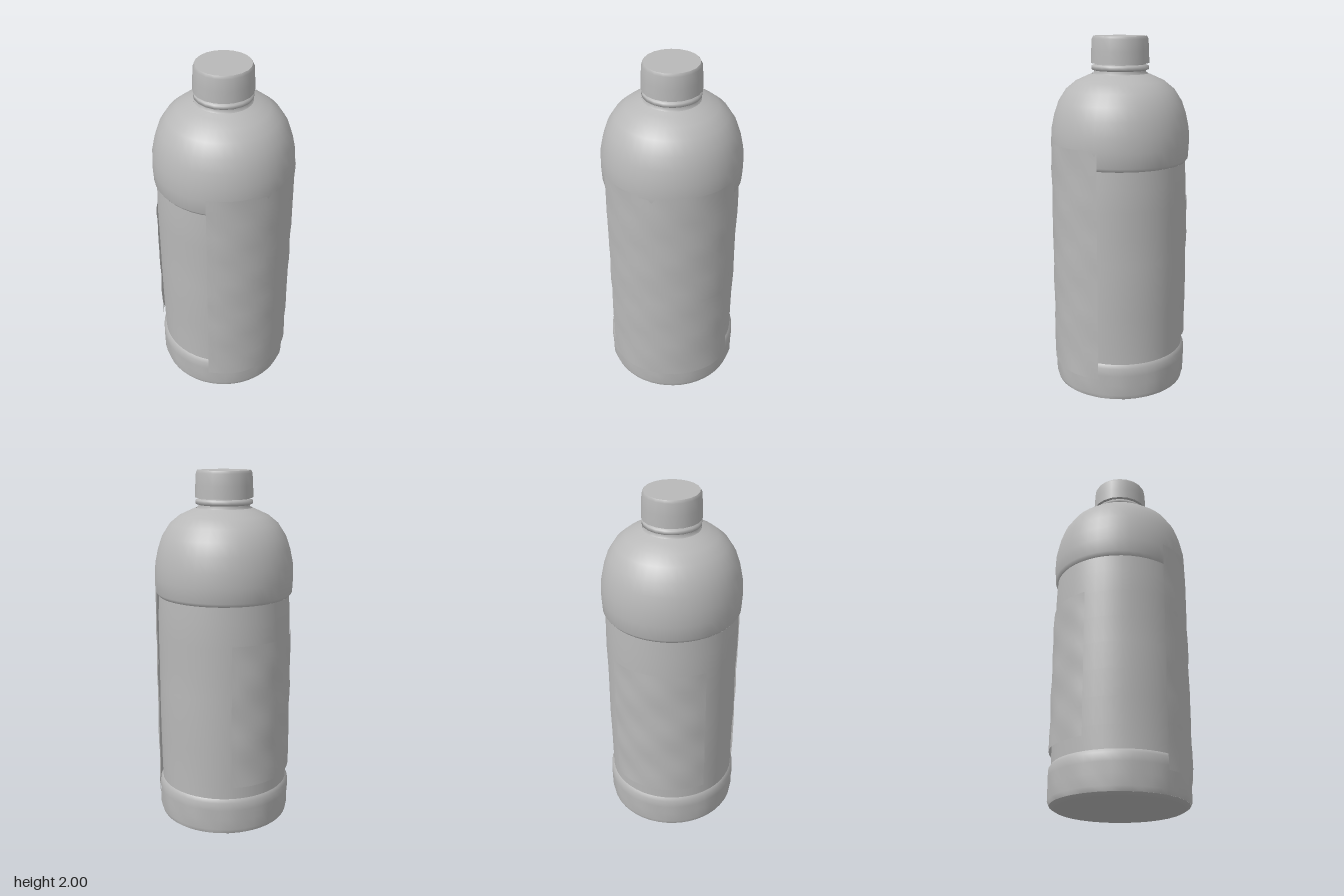
import * as THREE from 'three';

const grey = new THREE.MeshStandardMaterial({ color: 0xb8b8b8, side: THREE.DoubleSide });

// Revolved part from [radius, height] pairs, listed bottom to top
function lathe(name, profile, segments = 32, start = 0, length = Math.PI * 2) {
  const points = profile.map(([r, y]) => new THREE.Vector2(r, y));
  const mesh = new THREE.Mesh(new THREE.LatheGeometry(points, segments, start, length), grey);
  mesh.name = name;
  return mesh;
}

// Push vertices in or out around the axis, then refresh the shading
function reshape(mesh, offset) {
  const p = mesh.geometry.attributes.position;
  const n = mesh.geometry.attributes.normal;
  const seam = p.count / (mesh.geometry.parameters.segments + 1);
  for (let i = 0; i < p.count; i++) {
    const x = p.getX(i), z = p.getZ(i), r = Math.hypot(x, z);
    if (r < 0.01) continue;
    const k = (r + offset(Math.atan2(x, z), p.getY(i))) / r;
    p.setX(i, x * k);
    p.setZ(i, z * k);
  }
  mesh.geometry.computeVertexNormals();
  // Match normals across the seam of a full turn
  if (mesh.geometry.parameters.phiLength > 6.28) {
    for (let j = 0; j < seam; j++) {
      const k = p.count - seam + j;
      const v = new THREE.Vector3(n.getX(j) + n.getX(k), n.getY(j) + n.getY(k), n.getZ(j) + n.getZ(k)).normalize();
      n.setXYZ(j, v.x, v.y, v.z);
      n.setXYZ(k, v.x, v.y, v.z);
    }
  }
  return mesh;
}

// Curved label wrapped around the body between two angles in degrees
function label(name, from, to, y0, y1, radius) {
  const profile = [];
  for (let i = 0; i <= 16; i++) profile.push([radius, y0 + (y1 - y0) * i / 16]);
  const rad = Math.PI / 180;
  const mesh = lathe(name, profile, 18, from * rad, (to - from) * rad);
  // Slight crumpling of the film
  return reshape(mesh, (a, y) => 0.003 * Math.sin(y * 24 + a * 3) * Math.sin(a * 7 + y * 5));
}

export function createModel() {
  const bottle = new THREE.Group();
  bottle.name = 'bottle';

  // Underside with a shallow hollow, and the fluted foot
  bottle.add(lathe('underside', [[0, 0.035], [0.18, 0.025], [0.29, 0], [0.345, 0], [0.37, 0.015]]));
  const foot = lathe('foot', [[0.37, 0.015], [0.381, 0.04], [0.381, 0.1], [0.382, 0.16], [0.38, 0.205], [0.366, 0.225]], 48);
  bottle.add(reshape(foot, (a, y) =>
    y > 0.03 && y < 0.15 ? -0.006 * (0.5 + 0.5 * Math.cos(a * 12)) : 0));

  // Waisted body with shallow grips on both sides
  const body = lathe('body', [[0.366, 0.225], [0.369, 0.35], [0.371, 0.5], [0.372, 0.65], [0.372, 0.8],
    [0.372, 0.95], [0.373, 1.1], [0.371, 1.22], [0.366, 1.32]], 48);
  bottle.add(reshape(body, (a, y) => {
    const side = Math.pow(Math.abs(Math.sin(a)), 8);
    return y > 0.3 && y < 1.2 ? -0.006 * side * (0.6 + 0.4 * Math.cos(y * 14)) : 0;
  }));

  // Rounded shoulder
  bottle.add(lathe('shoulder', [[0.366, 1.32], [0.382, 1.34], [0.386, 1.42], [0.383, 1.5], [0.366, 1.58],
    [0.342, 1.65], [0.3, 1.715], [0.245, 1.76], [0.19, 1.785], [0.155, 1.8]], 40));

  // Neck, collar and cap
  bottle.add(lathe('neck', [[0.155, 1.795], [0.142, 1.81], [0.14, 1.87]], 20));
  bottle.add(lathe('collar', [[0.138, 1.815], [0.157, 1.822], [0.157, 1.842], [0.138, 1.85]], 20));
  bottle.add(lathe('capUnderside', [[0.12, 1.856], [0.16, 1.856]], 20));
  bottle.add(lathe('capSide', [[0.16, 1.856], [0.158, 1.92], [0.154, 1.985], [0.146, 2]], 20));
  bottle.add(lathe('capTop', [[0.146, 2], [0, 2]], 20));

  // Front and back labels
  bottle.add(label('frontLabel', -68, 56, 0.135, 1.43, 0.387));
  bottle.add(label('backLabel', 137, 223, 0.3, 1.11, 0.381));

  return bottle;
}
